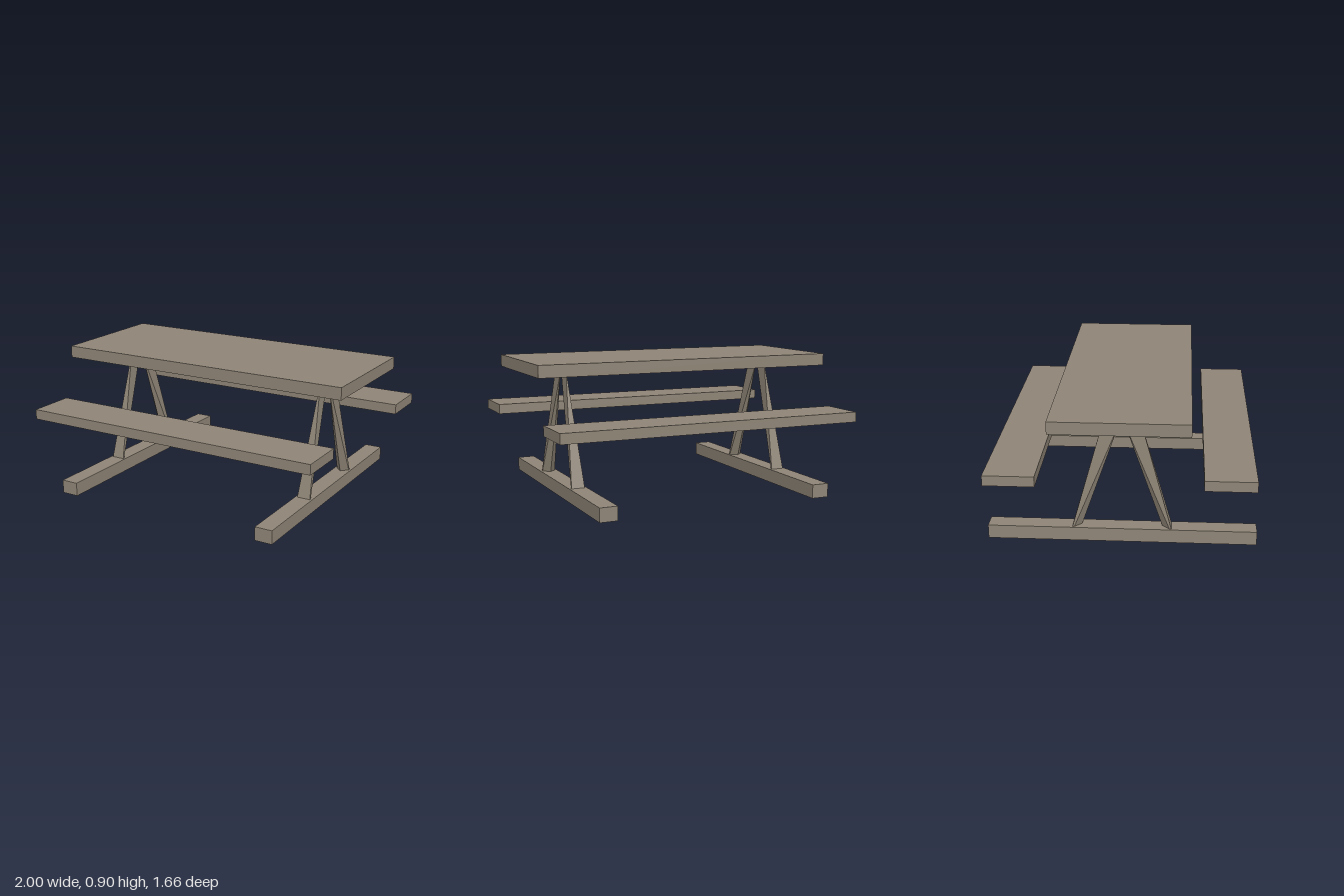
import * as THREE from 'three';
import { ConvexGeometry } from 'three/addons/geometries/ConvexGeometry.js';

export function createModel() {
  const model = new THREE.Group();
  model.name = 'picnicTable';
  const wood = new THREE.MeshStandardMaterial({ color: 0x8f8577 });
  wood.name = 'weatheredWood';

  const add = (name, geometry, x, y, z) => {
    const mesh = new THREE.Mesh(geometry, wood);
    mesh.name = name;
    mesh.position.set(x, y, z);
    model.add(mesh);
  };

  // Table top
  add('tableTop', new THREE.BoxGeometry(2, 0.078, 0.832), 0, 0.859, 0);

  // Benches in front and behind
  const bench = new THREE.BoxGeometry(2, 0.065, 0.31);
  add('frontBench', bench, 0, 0.518, 0.65);
  add('backBench', bench, 0, 0.518, -0.65);

  // Tapered leg: a thin upright edge at the top, a triangular foot at the bottom
  const legGeometry = (side) => new ConvexGeometry([
    [0, 0.8, 0.01], [0, 0.83, 0.105],
    [0, 0, 0.286], [-0.049, 0.017, 0.331], [0.049, 0.017, 0.331],
  ].map(([x, y, z]) => new THREE.Vector3(x, y, z * side)));
  const frontLeg = legGeometry(1);
  const backLeg = legGeometry(-1);

  // Ground beams, each carrying a pair of splayed legs
  const beam = new THREE.BoxGeometry(0.114, 0.088, 1.664);
  for (const [side, x] of [['left', 0.722], ['right', -0.722]]) {
    add(side + 'GroundBeam', beam, x, 0.063, 0);
    add(side + 'FrontLeg', frontLeg, x, 0, 0);
    add(side + 'BackLeg', backLeg, x, 0, 0);
  }

  return model;
}
